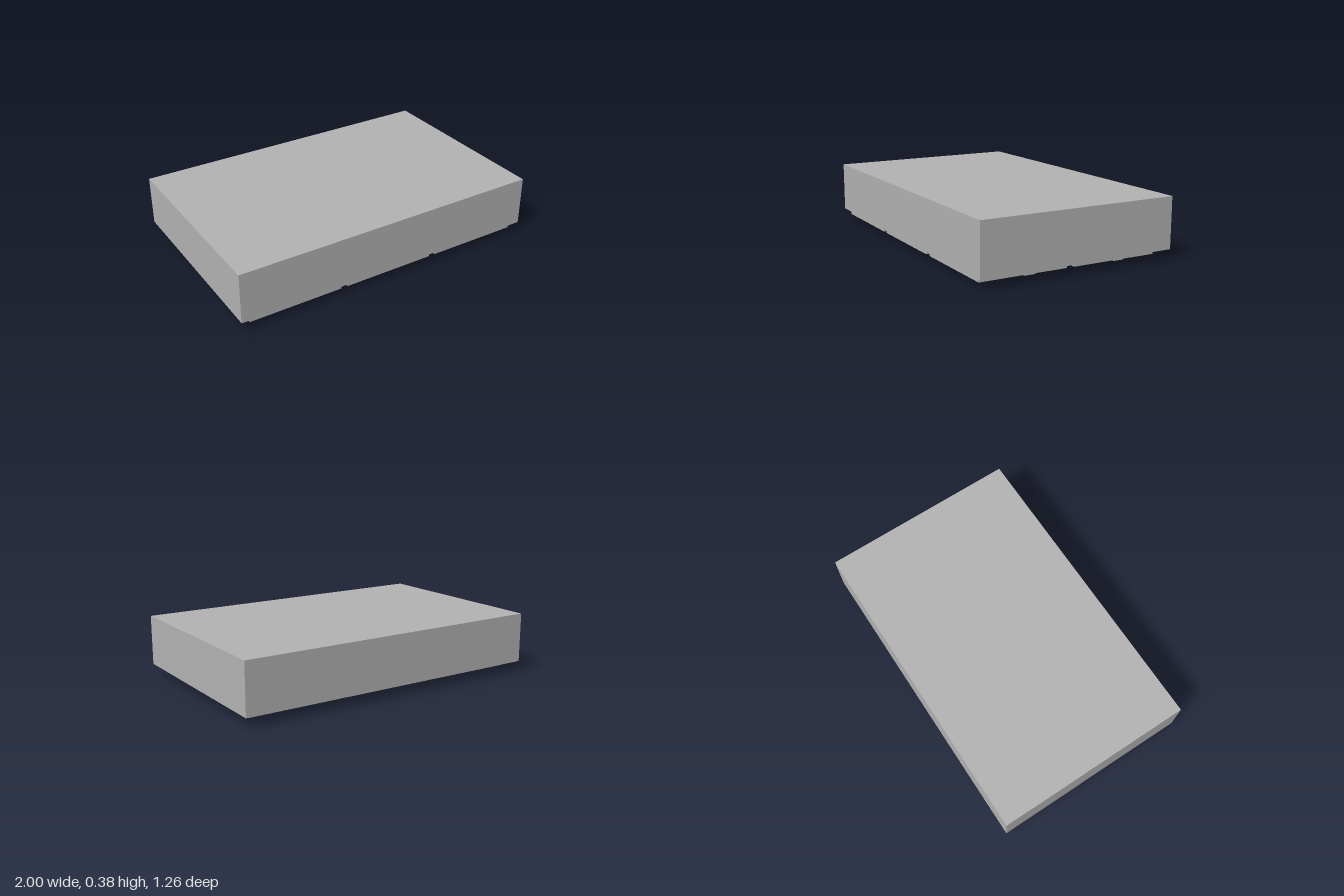
import * as THREE from 'three';

export function createModel() {
  const group = new THREE.Group();
  const grey = new THREE.MeshStandardMaterial({ color: 0xb2b2b2 });
  grey.name = 'grey';

  // Box given by its lower and upper bounds on each axis
  function block(name, [x0, x1], [y0, y1], [z0, z1], parent = group) {
    const mesh = new THREE.Mesh(new THREE.BoxGeometry(x1 - x0, y1 - y0, z1 - z0), grey);
    mesh.position.set((x0 + x1) / 2, (y0 + y1) / 2, (z0 + z1) / 2);
    mesh.name = name;
    parent.add(mesh);
  }

  // Cabinet lying on its face
  block('cabinetBody', [-1, 1], [0.062, 0.378], [-0.63, 0.63]);

  // Two rows of three doors on the underside, each with a label plate and a handle
  for (const dz of [0, -0.604]) {
    for (const dx of [-0.641, 0, 0.641]) {
      const unit = new THREE.Group();
      unit.name = 'doorUnit';
      unit.position.set(dx, 0, dz);
      block('door', [-0.299, 0.298], [0.03, 0.055], [0.052, 0.606], unit);
      block('labelPlate', [-0.215, 0.216], [0.013, 0.023], [0.464, 0.538], unit);
      block('handle', [0.191, 0.226], [0, 0.012], [0.211, 0.28], unit);
      group.add(unit);
    }
  }
  return group;
}
